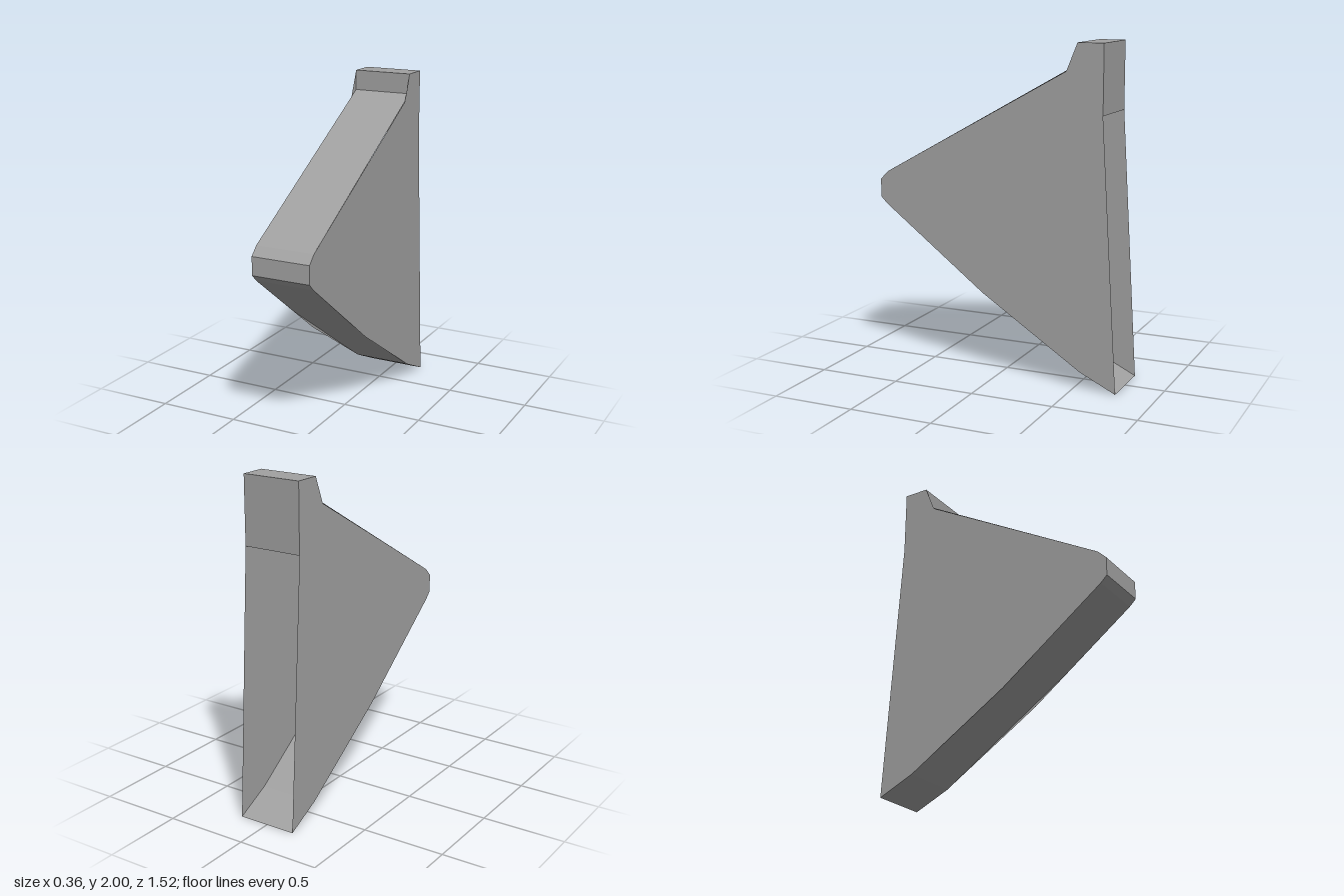
import * as THREE from 'three';

const HALF_WIDTH = 0.18;

// Outline of a side cheek as [z, y]
const OUTLINE = [
  [-0.66, 2], [-0.505, 2], [-0.44, 1.84], [0.71, 1.2], [0.76, 1.15], [0.76, 1.04],
  [0.72, 1], [0.08, 0.51], [-0.54, 0.105], [-0.76, 0], [-0.66, 1.6],
];

// Sheets spanning between the cheeks, each a path of [z, y]
const SHEETS = {
  backPlate: [[-0.66, 1.6], [-0.66, 2]],
  topCap: [[-0.66, 2], [-0.505, 2]],
  neckFront: [[-0.505, 2], [-0.505, 1.88]],
  upperSlope: [[-0.505, 1.88], [0.71, 1.2]],
  nose: [[0.71, 1.2], [0.76, 1.15], [0.76, 1.04], [0.72, 1]],
  underside: [[0.72, 1], [0.3, 0.68], [-0.54, 0.105], [-0.76, 0]],
};

// Flat-faced strip swept across the width
function sheetGeometry(path) {
  const w = HALF_WIDTH, positions = [];
  for (let i = 0; i < path.length - 1; i++) {
    const [z0, y0] = path[i], [z1, y1] = path[i + 1];
    positions.push(-w, y0, z0, -w, y1, z1, w, y1, z1);
    positions.push(-w, y0, z0, w, y1, z1, w, y0, z0);
  }
  const geometry = new THREE.BufferGeometry();
  geometry.setAttribute('position', new THREE.Float32BufferAttribute(positions, 3));
  geometry.computeVertexNormals();
  return geometry;
}

export function createModel() {
  const model = new THREE.Group();
  model.name = 'wedgeBracket';
  const grey = new THREE.MeshStandardMaterial({ color: 0xa0a0a0, side: THREE.DoubleSide });
  grey.name = 'grey';

  const add = (name, geometry) => {
    const mesh = new THREE.Mesh(geometry, grey);
    mesh.name = name;
    model.add(mesh);
  };

  // Side cheeks, facing outwards
  for (const side of [1, -1]) {
    const shape = new THREE.Shape(OUTLINE.map(([z, y]) => new THREE.Vector2(-side * z, y)));
    const geometry = new THREE.ShapeGeometry(shape);
    geometry.rotateY(side * Math.PI / 2);
    geometry.translate(side * HALF_WIDTH, 0, 0);
    add(side > 0 ? 'leftCheek' : 'rightCheek', geometry);
  }

  // Sheets between the cheeks; the lower back stays open
  for (const [name, path] of Object.entries(SHEETS)) add(name, sheetGeometry(path));

  return model;
}
